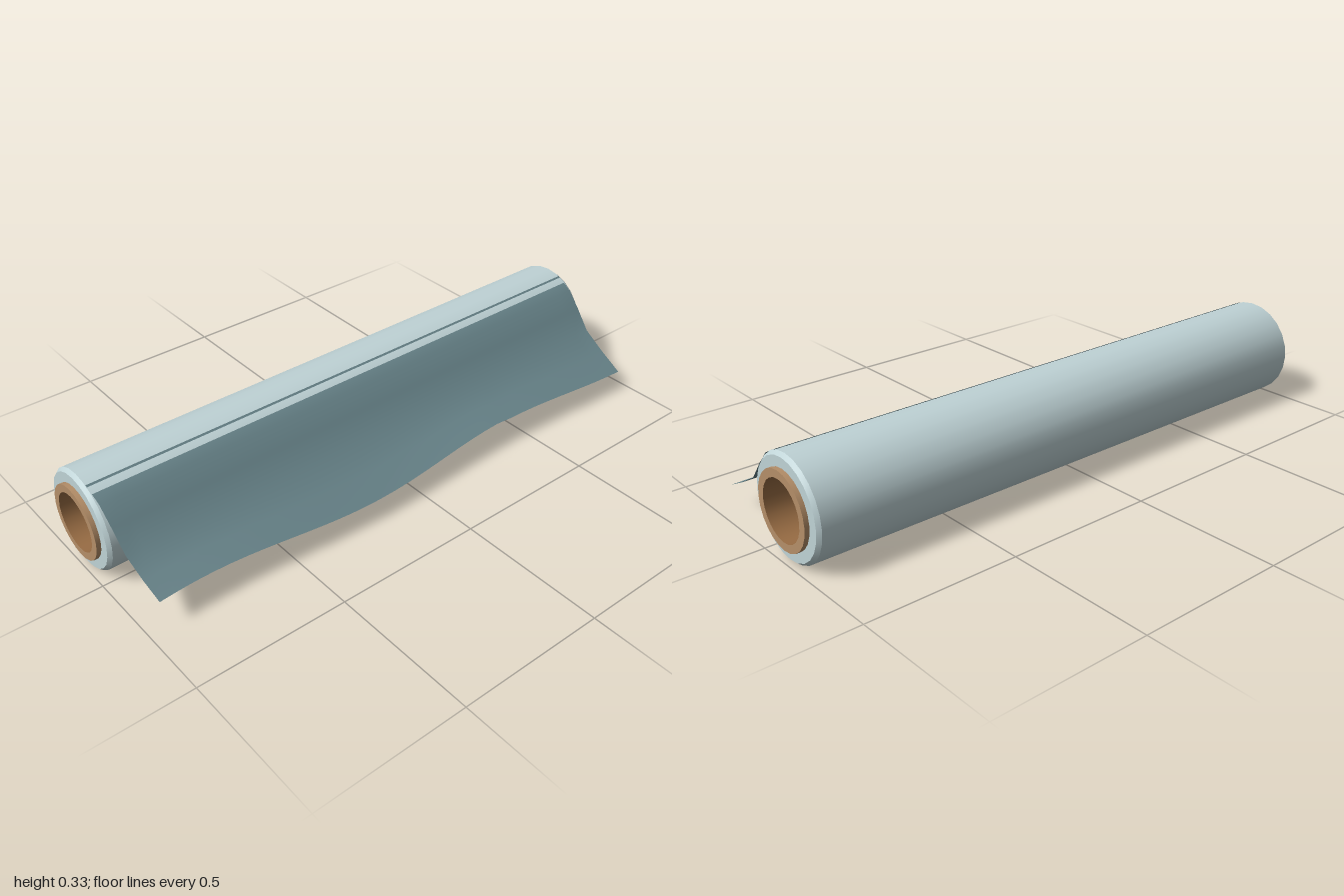
import * as THREE from 'three';
import { toCreasedNormals } from 'three/addons/utils/BufferGeometryUtils.js';

const AXIS_Y = 0.166, AXIS_Z = -0.117;

// Revolves a [radius, position] profile around the roll's axis (along x)
function revolve(name, profile, material) {
  const points = profile.map(([r, a]) => new THREE.Vector2(r, a));
  const geometry = new THREE.LatheGeometry(points, 24).rotateZ(-Math.PI / 2);
  const mesh = new THREE.Mesh(toCreasedNormals(geometry, 0.6), material);
  mesh.name = name;
  mesh.position.set(0, AXIS_Y, AXIS_Z);
  return mesh;
}

// Loose flap: a profile swept along x, with a gentle wave growing to its free edge
function looseSheet(material) {
  const profile = [
    [-0.062, 0.3225], [-0.054, 0.316], [-0.0345, 0.3085], [0, 0.289],
    [0.05, 0.236], [0.105, 0.17], [0.187, 0.125], [0.266, 0.089],
  ];
  const rows = profile.length - 1, columns = 32;
  const geometry = new THREE.PlaneGeometry(2, 1, columns, rows);
  const position = geometry.attributes.position;
  for (let i = 0; i < position.count; i++) {
    const row = Math.floor(i / (columns + 1));
    const t = row / rows;
    const [z, y] = profile[row];
    const x = position.getX(i) * (0.972 - 0.02 * t * t);
    const wave = Math.cos((x + 0.2) * Math.PI / 0.6) * (x > 0.4 ? 0.8 : 1);
    const amount = Math.max(0, (z - 0.1) / 0.166) * wave;
    position.setXYZ(i, x, y - 0.014 * amount, z + 0.014 * amount);
  }
  geometry.computeVertexNormals();
  const mesh = new THREE.Mesh(geometry, material);
  mesh.name = 'looseSheet';
  return mesh;
}

export function createModel() {
  const film = new THREE.MeshStandardMaterial({ color: 0xbfd3d6 });
  film.name = 'pale film';
  const flap = new THREE.MeshStandardMaterial({ color: 0x68848a, side: THREE.DoubleSide });
  flap.name = 'dark film';
  const card = new THREE.MeshStandardMaterial({ color: 0xb48e68 });
  card.name = 'cardboard';
  const cardInside = new THREE.MeshStandardMaterial({ color: 0x996d44 });
  cardInside.name = 'inner cardboard';

  const model = new THREE.Group();
  model.name = 'filmRoll';

  // Wound film with bevelled ends
  model.add(revolve('woundRoll', [
    [0.12, -0.985], [0.155, -0.985], [0.165, -0.973],
    [0.165, 0.973], [0.155, 0.985], [0.12, 0.985],
  ], film));

  // Cardboard tube poking out at both ends, and its bore
  model.add(revolve('coreTube', [
    [0.096, -1], [0.122, -1], [0.122, 1], [0.096, 1],
  ], card));
  model.add(revolve('coreBore', [[0.096, 1], [0.096, -1]], cardInside));

  model.add(looseSheet(flap));
  return model;
}
